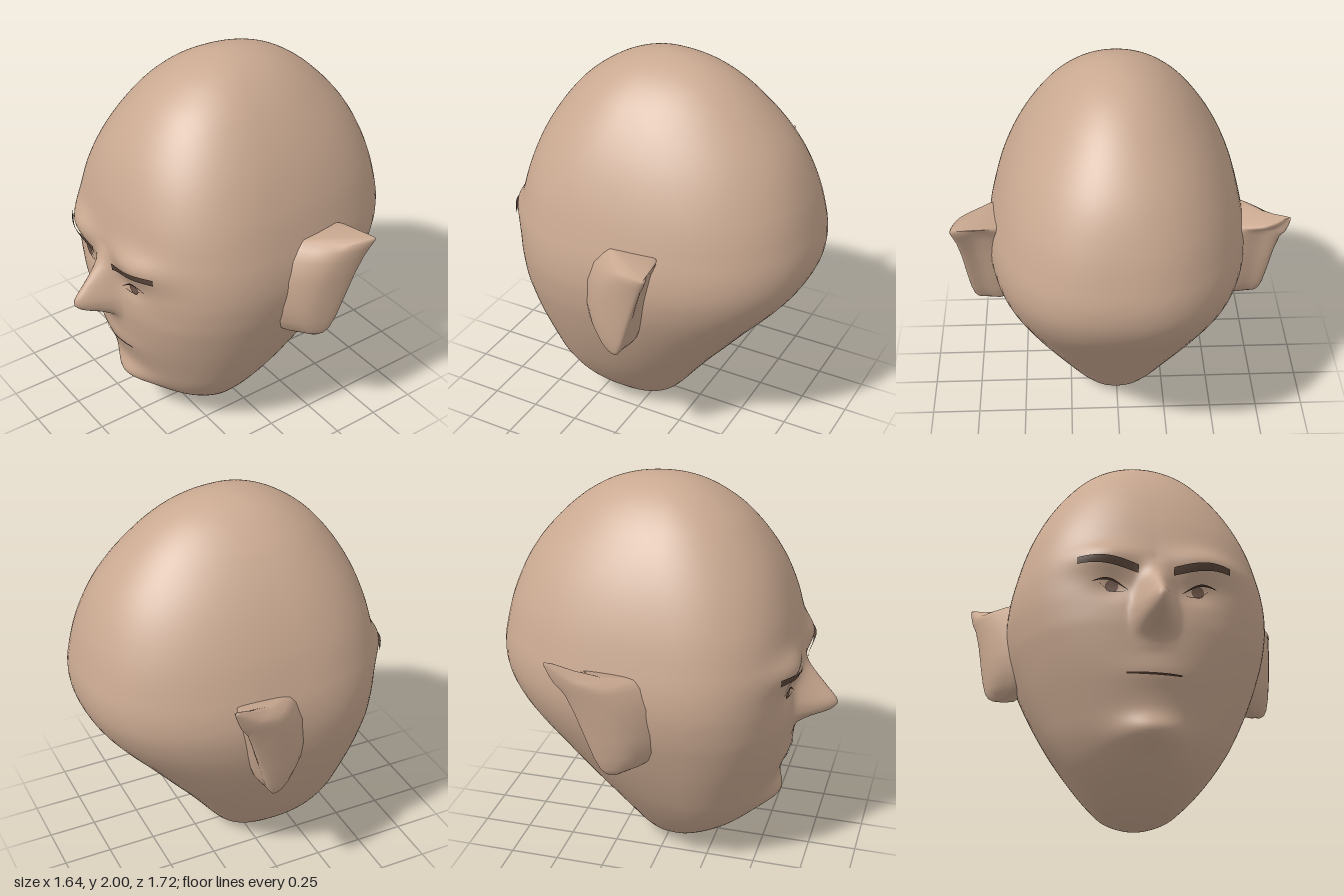
import * as THREE from 'three';

const mat = (name, color) => {
  const m = new THREE.MeshStandardMaterial({ color, side: THREE.DoubleSide });
  m.name = name;
  return m;
};

// Head profile by height: y, half width, front z, back z
const PROFILE = [
  [0.005, 0, 0, 0], [0.05, 0.165, 0.185, -0.12], [0.1, 0.233, 0.292, -0.167], [0.2, 0.328, 0.437, -0.243],
  [0.3, 0.4, 0.513, -0.32], [0.4, 0.459, 0.56, -0.4], [0.6, 0.549, 0.622, -0.565],
  [0.8, 0.617, 0.655, -0.735], [0.9, 0.64, 0.66, -0.805], [1.0, 0.652, 0.665, -0.85],
  [1.1, 0.648, 0.668, -0.865], [1.2, 0.63, 0.661, -0.855], [1.4, 0.575, 0.62, -0.802],
  [1.6, 0.489, 0.54, -0.705], [1.8, 0.357, 0.395, -0.532], [1.9, 0.257, 0.27, -0.403],
  [1.95, 0.183, 0.177, -0.307], [2.0, 0, -0.06, -0.06],
];
const NOSE = [[0.68, 0], [0.75, 0.022], [0.79, 0.09], [0.83, 0.17], [0.88, 0.2], [0.95, 0.145],
  [1.01, 0.09], [1.08, 0.03], [1.15, 0]];
const step = THREE.MathUtils.smoothstep;

// Smooth interpolation through rows of [key, values...]
function sample(rows, key, k, col) {
  const at = (i) => rows[Math.min(Math.max(i, 0), rows.length - 1)];
  let i = 0;
  while (i < rows.length - 2 && k > key(at(i + 1))) i++;
  const slope = (j) => {
    const a = at(j - 1), b = at(j + 1);
    return (b[col] - a[col]) / (key(b) - key(a));
  };
  const k0 = key(at(i)), h = key(at(i + 1)) - k0;
  const t = Math.min(Math.max((k - k0) / h, 0), 1), t2 = t * t, t3 = t2 * t;
  return (2 * t3 - 3 * t2 + 1) * at(i)[col] + (t3 - 2 * t2 + t) * h * slope(i)
    + (3 * t2 - 2 * t3) * at(i + 1)[col] + (t3 - t2) * h * slope(i + 1);
}
const angleOf = (y) => Math.acos(Math.min(Math.max(1 - y, -1), 1));

// Cross-section at a height; the powers set how boxy front and back are
function section(y) {
  const [w, f, b] = [1, 2, 3].map((c) => sample(PROFILE, (r) => angleOf(r[0]), angleOf(y), c));
  const mid = b + (f - b) * 0.6;
  return {
    w, mid, front: f - mid, back: mid - b,
    frontPower: 1.95 + 0.53 * step(y, 0.4, 1.0) - 0.38 * step(y, 1.25, 1.85),
    backPower: 2.2 + 0.15 * step(y, 0.2, 0.8) - 0.25 * step(y, 1.25, 1.9),
  };
}

// Brow, eye sockets, nose, lips and chin pushed out of the face
const bump = (x, y, cx, cy, sx, sy) => Math.exp(-(((x - cx) / sx) ** 2) - ((y - cy) / sy) ** 2);
function relief(x, y) {
  const ax = Math.abs(x);
  let d = 0.042 * bump(ax, y, 0.25, 1.15, 0.16, 0.075) - 0.02 * bump(ax, y, 0.19, 0.99, 0.1, 0.06);
  d += 0.066 * bump(x, y, 0, 0.31, 0.16, 0.075) + 0.01 * bump(x, y, 0, 0.58, 0.16, 0.06);
  if (y > 0.68 && y < 1.15) {
    const u = Math.min(ax / (0.135 - 0.16 * Math.max(0, y - 0.88)), 1);
    d += sample(NOSE, (r) => r[0], y, 1) * (0.5 + 0.5 * Math.cos(Math.PI * u ** 0.9));
  }
  return d;
}
function faceZ(x, y) {
  const s = section(y);
  const u = Math.min(Math.abs(x) / s.w, 1);
  return s.mid + s.front * (1 - u ** s.frontPower) ** (1 / s.frontPower) + relief(x, y);
}

// Skin over closed loops of equal length, with a point at each end
function loft(loops, start, end) {
  const n = loops[0].length, pos = [], idx = [];
  loops.forEach((l) => l.forEach((p) => pos.push(...p)));
  pos.push(...start, ...end);
  const s = loops.length * n, last = s - n;
  for (let j = 0; j < n; j++) {
    const k = (j + 1) % n;
    idx.push(s, k, j, s + 1, last + j, last + k);
    for (let i = 0; i < loops.length - 1; i++) {
      const a = i * n + j, b = i * n + k;
      idx.push(a, b, b + n, a, b + n, a + n);
    }
  }
  const g = new THREE.BufferGeometry();
  g.setAttribute('position', new THREE.Float32BufferAttribute(pos, 3));
  g.setIndex(idx);
  g.computeVertexNormals();
  return g;
}

function headGeometry() {
  const rows = 180, cols = 120, loops = [];
  for (let i = 1; i < rows; i++) {
    const y = 1.0025 - 0.9975 * Math.cos((Math.PI * i) / rows), s = section(y), loop = [];
    for (let j = 0; j < cols; j++) {
      const t = (j / cols) * Math.PI * 2, a = t - 0.65 * Math.sin(t); // denser on the face
      const sn = Math.sin(a), cs = Math.cos(a), p = cs > 0 ? s.frontPower : s.backPower;
      const r = (Math.abs(sn) ** p + Math.abs(cs) ** p) ** (-1 / p);
      const x = s.w * r * sn;
      loop.push([x, y, s.mid + (cs > 0 ? s.front * r * cs + relief(x, y) : s.back * r * cs)]);
    }
    loops.push(loop);
  }
  return loft(loops, [0, 0.005, 0], [0, 2, -0.06]);
}

// Ear rows: y, root x, front z, rim x, rim z, back z
const EAR = [[0.692, 0.64, -0.085, 0.7, -0.125, -0.13], [0.71, 0.59, -0.05, 0.722, -0.145, -0.155],
  [0.74, 0.57, -0.02, 0.737, -0.165, -0.175], [0.8, 0.57, 0.01, 0.75, -0.19, -0.195],
  [0.9, 0.57, 0.025, 0.763, -0.222, -0.22], [1.05, 0.57, 0.01, 0.78, -0.272, -0.245],
  [1.15, 0.57, -0.04, 0.797, -0.31, -0.26]];
const LEFT_TIP = [[1.2, 0.57, -0.095, 0.81, -0.335, -0.28], [1.235, 0.6, -0.15, 0.82, -0.35, -0.3]];
const RIGHT_TIP = [[1.185, 0.6, -0.09, 0.805, -0.335, -0.275], [1.215, 0.7, -0.2, 0.813, -0.355, -0.315],
  [1.26, 0.755, -0.29, 0.82, -0.375, -0.355], [1.305, 0.795, -0.365, 0.825, -0.392, -0.383]];

function earGeometry(tip, side, end) {
  const loops = [...EAR, ...tip].map(([y, rx, zf, tx, tz, zb]) => {
    const w = tx - rx, at = (u, z) => new THREE.Vector3(side * (rx + w * u), y, z);
    const flare = w * 0.4; // root widens into the head
    const pts = [at(0, zb), at(0, zf + flare), at(0.45, zf + flare * 0.25), at(0.84, zf + (tz - zf) * 0.32),
      at(1, tz + (zf - tz) * 0.12), at(0.96, tz), at(0.6, tz * 0.5 + zb * 0.5)];
    const loop = new THREE.CatmullRomCurve3(pts, true, 'centripetal').getPoints(42).slice(0, -1);
    if (side > 0) loop.reverse(); // faces look outward on both sides
    return loop.map((p) => p.toArray());
  });
  return loft(loops, [side * 0.68, 0.686, -0.11], end);
}

// Thin painted strip lying on the face between two curves of x
function strip(x0, x1, low, high, side, lift) {
  const g = new THREE.PlaneGeometry(1, 1, 20, 3), p = g.attributes.position;
  for (let i = 0; i < p.count; i++) {
    const u = p.getX(i) + 0.5, v = p.getY(i) + 0.5, x = x0 + (x1 - x0) * u;
    const y = low(u) + (high(u) - low(u)) * v;
    p.setXYZ(i, side * x, y, faceZ(x, y) + lift);
  }
  if (side < 0) g.index.array.reverse();
  g.computeVertexNormals();
  return g;
}

export function createModel() {
  const group = new THREE.Group();
  const skin = mat('skin', 0xcaa991);
  const browMat = mat('browBrown', 0x5a463a);
  const lineMat = mat('lashBrown', 0x453227);
  const irisMat = mat('irisBrown', 0x755c4e);
  const add = (name, geo, m) => {
    const mesh = new THREE.Mesh(geo, m);
    mesh.name = name;
    group.add(mesh);
  };

  add('head', headGeometry(), skin);
  add('leftEar', earGeometry(LEFT_TIP, 1, [0.815, 1.25, -0.345]), skin);
  add('rightEar', earGeometry(RIGHT_TIP, -1, [-0.822, 1.322, -0.392]), skin);

  const arc = (h) => (u) => h * Math.sin(Math.PI * u);
  for (const [side, label] of [[1, 'left'], [-1, 'right']]) {
    // Brow slopes down toward the nose
    const browTop = (u) => 1.1 + 0.09 * u - 0.048 * u * u;
    add(label + 'Brow', strip(0.085, 0.37, (u) => browTop(u) - 0.042 + 0.008 * u, browTop, side, 0.012), browMat);
    // Lids
    const base = (u) => 0.977 + 0.043 * u;
    add(label + 'UpperLid', strip(0.13, 0.3, (u) => base(u) + arc(0.026)(u),
      (u) => base(u) + 0.002 + arc(0.035)(u), side, 0.009), lineMat);
    add(label + 'LowerLid', strip(0.135, 0.27, (u) => base(u) - arc(0.028)(u),
      (u) => base(u) - arc(0.024)(u), side, 0.007), lineMat);
    // Iris
    const iris = new THREE.CircleGeometry(0.031, 20), p = iris.attributes.position;
    for (let i = 0; i < p.count; i++) {
      const x = side * 0.207 + p.getX(i), y = 0.998 + p.getY(i);
      p.setXYZ(i, x, y, faceZ(x, y) + 0.006);
    }
    iris.computeVertexNormals();
    add(label + 'Iris', iris, irisMat);
  }
  add('mouth', strip(-0.13, 0.13, (u) => 0.568 - arc(0.003)(u), () => 0.576, 1, 0.006), lineMat);
  return group;
}
